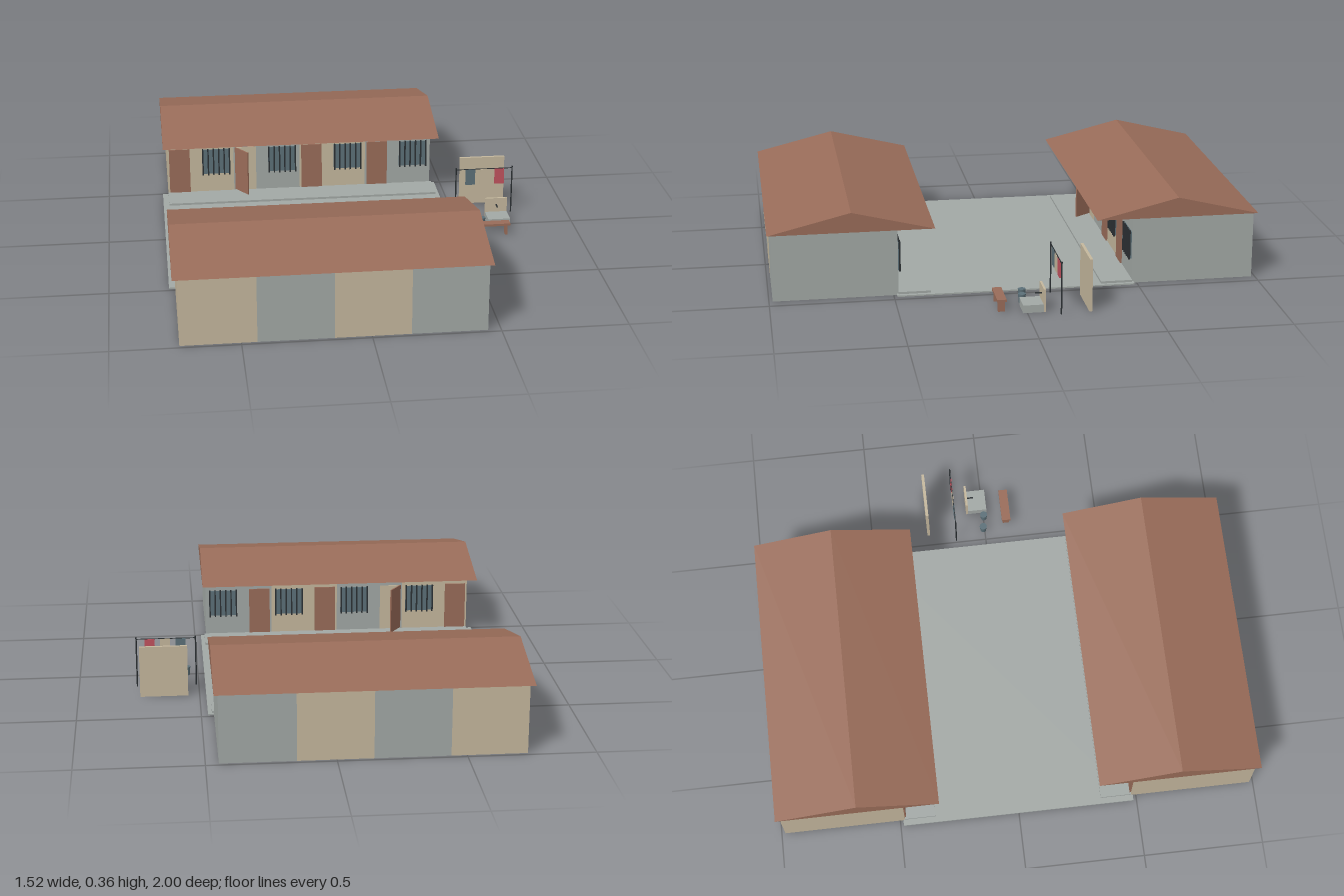
import * as THREE from 'three';

const mat = (name, color) => {
  const m = new THREE.MeshStandardMaterial({ color });
  m.name = name;
  return m;
};

export function createModel() {
  const grey = mat('grey plaster', 0xa2a8a5);
  const beige = mat('beige plaster', 0xc4b79d);
  const brown = mat('brown tile and wood', 0x996c59);
  const slate = mat('slate blue', 0x5c7078);
  const dark = mat('dark iron', 0x2b3033);
  const red = mat('red cloth', 0xc0525e);

  const model = new THREE.Group();
  model.name = 'courtyardHouses';

  const add = (parent, name, geometry, material) => {
    const mesh = new THREE.Mesh(geometry, material);
    mesh.name = name;
    parent.add(mesh);
    return mesh;
  };
  // box given by its lower and upper limits on each axis
  const box = (parent, name, material, x0, x1, y0, y1, z0, z1) => {
    const za = Math.min(z0, z1), zb = Math.max(z0, z1);
    const g = new THREE.BoxGeometry(x1 - x0, y1 - y0, zb - za);
    g.translate((x0 + x1) / 2, (y0 + y1) / 2, (za + zb) / 2);
    return add(parent, name, g, material);
  };
  const rod = (parent, name, material, r, x, y0, y1, z) => {
    const g = new THREE.CylinderGeometry(r, r, y1 - y0, 8);
    g.translate(x, (y0 + y1) / 2, z);
    return add(parent, name, g, material);
  };

  // courtyard paving
  box(model, 'courtyardFloor', grey, -0.76, 0.473, 0, 0.006, -0.487, 0.487);

  const left = -0.735, unitWidth = 0.296;

  // s = 1: house at the front, s = -1: house at the back; both face the courtyard
  const house = (s) => {
    const h = new THREE.Group();
    h.name = s > 0 ? 'frontHouse' : 'backHouse';
    model.add(h);
    const face = 0.48;

    for (let i = 0; i < 4; i++) {
      const x = left + i * unitWidth;
      box(h, 'roomWalls', i % 2 ? grey : beige, x, x + unitWidth, 0, 0.28, s * face, s * 0.985);

      // door, standing open on the second room
      const d0 = x + 0.008, d1 = x + 0.1;
      if (i === 1) {
        box(h, 'doorway', beige, d0, d1, 0.016, 0.22, s * face, s * (face - 0.003));
        const hinge = new THREE.Group();
        hinge.name = 'openDoor';
        hinge.position.set(d0, 0, s * face);
        hinge.rotation.y = s * 0.96;
        h.add(hinge);
        box(hinge, 'doorLeaf', brown, 0, 0.09, 0.02, 0.22, -0.003, 0.003);
      } else {
        box(h, 'door', brown, d0, d1, 0.016, 0.22, s * face, s * (face - 0.006));
      }

      // barred window
      const w0 = x + 0.155, w1 = x + 0.28;
      box(h, 'windowPane', slate, w0, w1, 0.1, 0.215, s * face, s * (face - 0.005));
      for (let k = 0; k < 6; k++) {
        const bx = w0 + 0.003 + k * (w1 - w0 - 0.006) / 5;
        box(h, 'windowBar', dark, bx - 0.003, bx + 0.003, 0.095, 0.22,
          s * (face - 0.005), s * (face - 0.012));
      }
    }

    // raised walkway under the inner eave
    box(h, 'walkway', grey, left, left + 4 * unitWidth + 0.008, 0, 0.015, s * 0.35, s * face);

    // gable roof
    const profile = new THREE.Shape([
      new THREE.Vector2(-0.335, 0.28), new THREE.Vector2(0.335, 0.28), new THREE.Vector2(0, 0.362),
    ]);
    const roof = new THREE.ExtrudeGeometry(profile, { depth: 1.22, bevelEnabled: false });
    roof.rotateY(Math.PI / 2);
    roof.translate(-0.755, 0, s * 0.665);
    add(h, 'roof', roof, brown);
  };
  house(1);
  house(-1);

  // free-standing wall panel
  box(model, 'screenWall', beige, 0.547, 0.745, 0, 0.217, -0.256, -0.244);

  // clothesline with washing
  const line = new THREE.Group();
  line.name = 'clothesline';
  model.add(line);
  for (const x of [0.51, 0.757]) rod(line, 'linePost', dark, 0.003, x, 0, 0.217, -0.13);
  box(line, 'lineWire', dark, 0.51, 0.757, 0.207, 0.21, -0.1315, -0.1285);
  [slate, beige, red].forEach((m, i) => {
    const x = 0.552 + i * 0.064;
    box(line, 'cloth', m, x, x + 0.042, 0.137, 0.208, -0.133, -0.127);
  });

  // wash place with splash panel and tap
  const wash = new THREE.Group();
  wash.name = 'washPlace';
  model.add(wash);
  box(wash, 'washBasin', grey, 0.63, 0.726, 0, 0.032, -0.065, 0.017);
  box(wash, 'splashPanel', beige, 0.63, 0.726, 0, 0.095, -0.074, -0.065);
  box(wash, 'tap', dark, 0.676, 0.681, 0.062, 0.067, -0.065, -0.038);

  // buckets
  for (const [x, z] of [[0.548, -0.002], [0.604, 0.006]]) {
    const g = new THREE.CylinderGeometry(0.016, 0.013, 0.037, 12);
    g.translate(x, 0.0185, z - 0.004);
    add(model, 'bucket', g, slate);
  }

  // bench
  const bench = new THREE.Group();
  bench.name = 'bench';
  model.add(bench);
  box(bench, 'benchSeat', brown, 0.56, 0.706, 0.043, 0.053, 0.079, 0.117);
  for (const x of [0.575, 0.691])
    box(bench, 'benchLeg', brown, x - 0.005, x + 0.005, 0, 0.043, 0.084, 0.112);

  return model;
}
